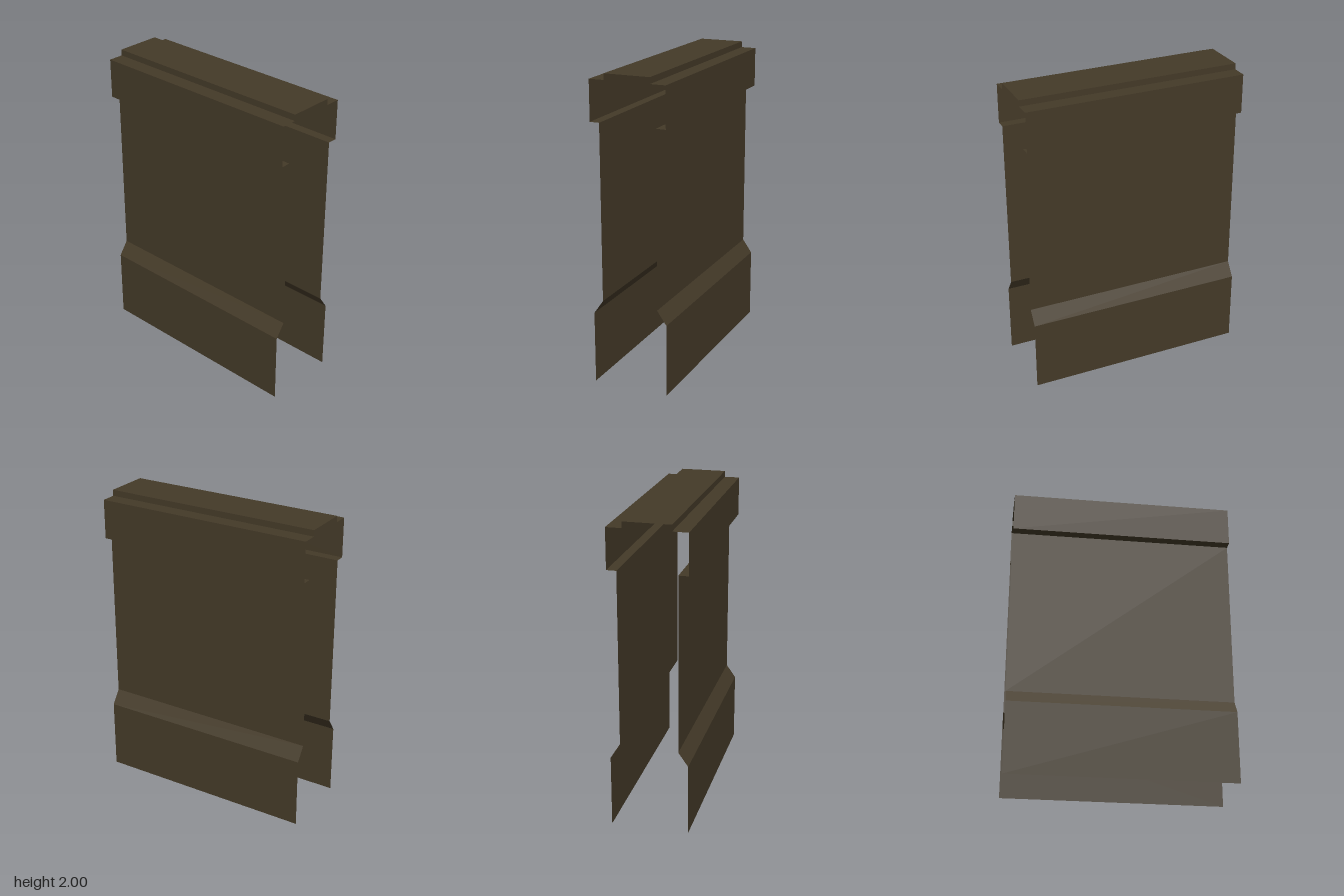
import * as THREE from 'three';

const HALF_LENGTH = 0.73;

// Open sheet: an [x, y] outline swept straight along z, with flat facets.
function sweptSheet(name, outline, material) {
  const positions = [];
  for (let i = 0; i < outline.length - 1; i++) {
    const [ax, ay] = outline[i];
    const [bx, by] = outline[i + 1];
    const a0 = [ax, ay, HALF_LENGTH], a1 = [ax, ay, -HALF_LENGTH];
    const b0 = [bx, by, HALF_LENGTH], b1 = [bx, by, -HALF_LENGTH];
    positions.push(...a0, ...a1, ...b1, ...a0, ...b1, ...b0);
  }
  const geometry = new THREE.BufferGeometry();
  geometry.setAttribute('position', new THREE.Float32BufferAttribute(positions, 3));
  geometry.computeVertexNormals();
  const mesh = new THREE.Mesh(geometry, material);
  mesh.name = name;
  return mesh;
}

export function createModel() {
  const model = new THREE.Group();
  model.name = 'wallSection';

  const darkStone = new THREE.MeshStandardMaterial({ color: 0x443a28, side: THREE.DoubleSide });
  darkStone.name = 'dark brown stone';

  // Outlines of the left side, running upwards
  const parts = {
    Plinth: [[0.25, 0], [0.25, 0.47]],
    PlinthSlope: [[0.25, 0.47], [0.187, 0.56]],
    WallFace: [[0.187, 0.56], [0.187, 1.7]],
    Coping: [[0.187, 1.7], [0.25, 1.7], [0.25, 1.96], [0.15, 1.96], [0.15, 2]],
  };
  for (const [part, outline] of Object.entries(parts)) {
    model.add(sweptSheet('left' + part, outline, darkStone));
    // Mirrored outline, reversed so it still faces outwards
    const mirrored = outline.map(([x, y]) => [-x, y]).reverse();
    model.add(sweptSheet('right' + part, mirrored, darkStone));
  }

  // Raised cap joining the two sides
  model.add(sweptSheet('topCap', [[0.15, 2], [-0.15, 2]], darkStone));

  return model;
}
